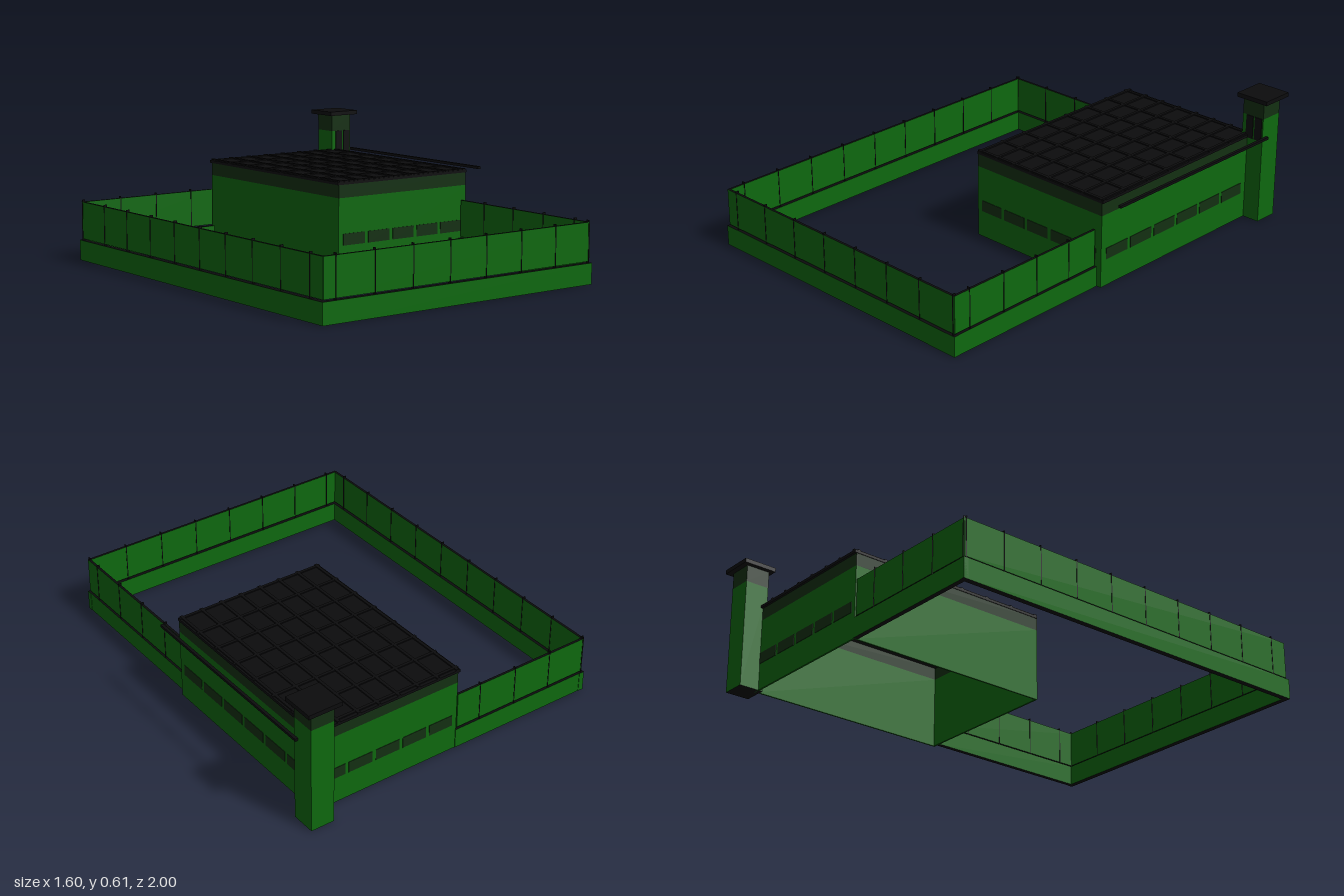
import * as THREE from 'three';

const mat = (name, color, side = THREE.FrontSide) => {
  const m = new THREE.MeshStandardMaterial({ color, side });
  m.name = name;
  return m;
};

export function createModel() {
  const green = mat('wall green', 0x0e680f);
  const dark = mat('dark green trim', 0x132f12);
  const black = mat('roof black', 0x0c0c0d);
  const capped = [green, green, black, black, green, green]; // black top and bottom
  const model = new THREE.Group();
  model.name = 'walledBuilding';

  const group = (name) => {
    const g = new THREE.Group();
    g.name = name;
    model.add(g);
    return g;
  };
  // Box given by its minimum and maximum corners
  const box = (parent, name, material, x0, x1, y0, y1, z0, z1) => {
    const mesh = new THREE.Mesh(new THREE.BoxGeometry(x1 - x0, y1 - y0, z1 - z0), material);
    mesh.position.set((x0 + x1) / 2, (y0 + y1) / 2, (z0 + z1) / 2);
    mesh.name = name;
    parent.add(mesh);
  };

  // Perimeter: low wall, raised panels and thin joint posts
  const step = 0.197;
  const fence = (name, alongX, a0, a1, c, half, firstPost, dir) => {
    const g = group(name);
    const run = (part, material, s0, s1, y0, y1, h) => alongX
      ? box(g, part, material, s0, s1, y0, y1, c - h, c + h)
      : box(g, part, material, c - h, c + h, y0, y1, s0, s1);
    run('lowWall', capped, a0, a1, 0, 0.095, half);
    run('panel', capped, a0 + 0.01, a1 - 0.01, 0.102, 0.275, 0.006);
    for (let p = firstPost; p > a0 && p < a1; p += dir * step) {
      run('post', black, p - 0.002, p + 0.002, 0.095, 0.284, 0.0075);
    }
  };
  fence('frontFence', true, -0.8, 0.665, 0.987, 0.013, 0.65, -1);
  fence('rightSideFence', false, -0.885, 1, -0.787, 0.013, 0.905, -1);
  fence('leftSideFence', false, 0.14, 1, 0.652, 0.011, 0.905, -1);
  fence('backFence', true, -0.8, -0.06, -0.872, 0.011, -0.785, 1);

  // Main building: hollow walls, open underneath
  const hall = group('hall');
  const X0 = -0.063, X1 = 0.685, Z0 = -0.88, Z1 = 0.138, t = 0.008;
  const ring = (name, material, y0, y1) => {
    box(hall, name, material, X0, X1, y0, y1, Z1 - t, Z1);
    box(hall, name, material, X0, X1, y0, y1, Z0, Z0 + t);
    box(hall, name, material, X0, X0 + t, y0, y1, Z0 + t, Z1 - t);
    box(hall, name, material, X1 - t, X1, y0, y1, Z0 + t, Z1 - t);
  };
  ring('wall', green, 0, 0.343);
  ring('topBand', dark, 0.343, 0.402);

  // Strip windows
  for (let i = 0; i < 6; i++) {
    const z = 0.107 - i * 0.1585;
    box(hall, 'sideWindow', dark, X1, X1 + 0.002, 0.127, 0.18, z - 0.14, z);
  }
  for (let i = 0; i < 5; i++) {
    const x = -0.038 + i * 0.142;
    box(hall, 'frontWindow', dark, x, x + 0.124, 0.127, 0.18, Z1, Z1 + 0.002);
    box(hall, 'backWindow', dark, x, x + 0.124, 0.127, 0.18, Z0 - 0.002, Z0);
  }

  // Flat roof with a grid of ribs
  const roof = group('roof');
  box(roof, 'roofSlab', black, X0 - 0.003, X1 + 0.004, 0.402, 0.415, Z0 - 0.01, Z1);
  for (let i = 0; i < 8; i++) {
    const x = X0 + 0.012 + i * (X1 - X0 - 0.024) / 7;
    box(roof, 'longRib', black, x - 0.007, x + 0.007, 0.415, 0.421, Z0 - 0.01, Z1);
  }
  for (let i = 0; i < 8; i++) {
    const z = Z0 + 0.012 + i * (Z1 - Z0 - 0.024) / 7;
    box(roof, 'crossRib', black, X0 - 0.003, X1 + 0.004, 0.415, 0.42, z - 0.007, z + 0.007);
  }

  // Rail running out from the tower beside the roof
  box(model, 'sideRail', black, 0.77, 0.784, 0.41, 0.422, -0.885, 0.13);

  // Corner tower with band, cap and front windows
  const tower = group('tower');
  box(tower, 'shaft', capped, 0.655, 0.77, 0, 0.512, -0.975, -0.858);
  box(tower, 'towerBand', dark, 0.655, 0.77, 0.512, 0.592, -0.975, -0.858);
  box(tower, 'cap', black, 0.632, 0.798, 0.592, 0.612, -1, -0.838);
  for (const x of [0.677, 0.725]) {
    box(tower, 'towerWindow', black, x, x + 0.039, 0.402, 0.512, -0.858, -0.854);
  }

  return model;
}
